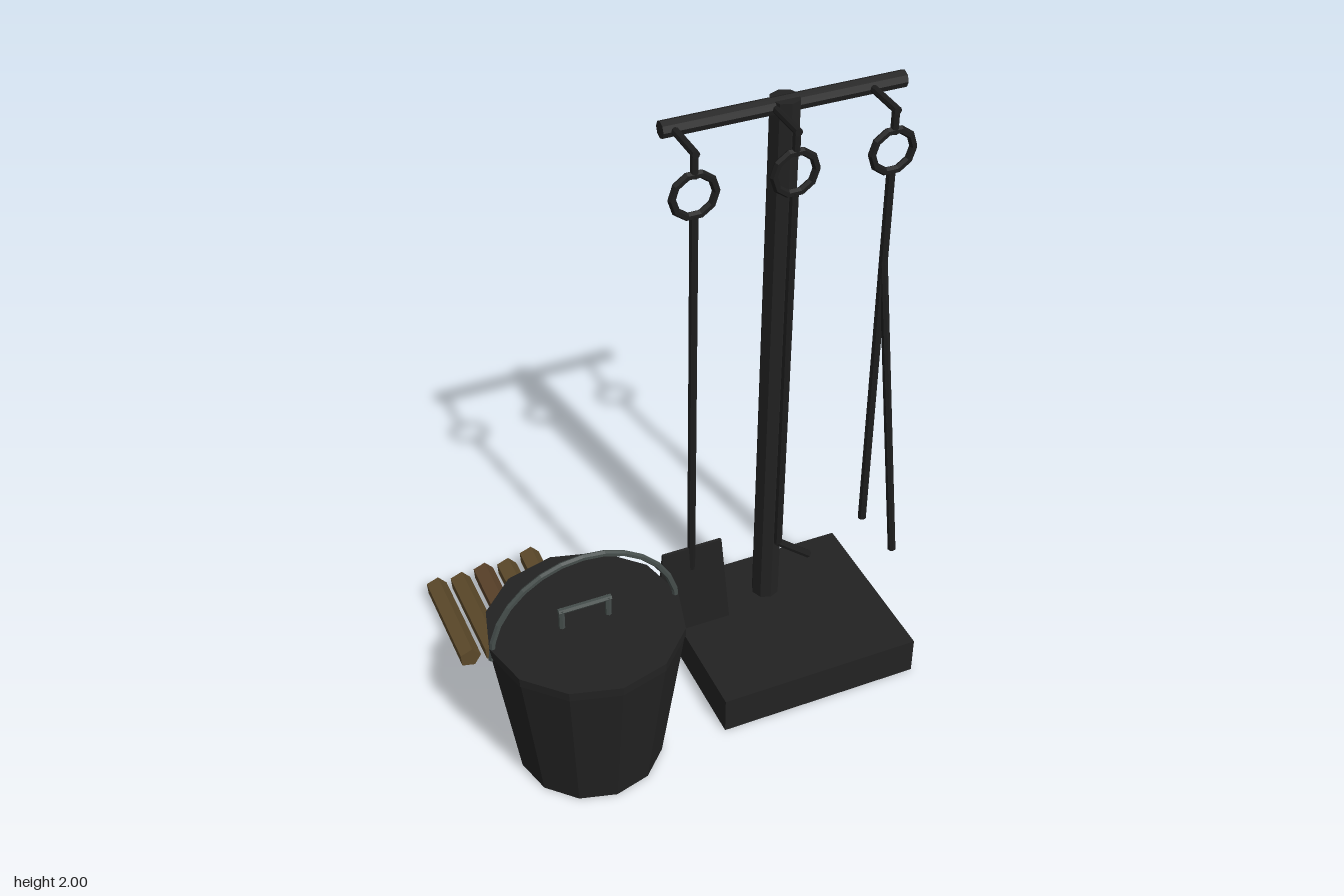
import * as THREE from 'three';

export function createModel() {
  const model = new THREE.Group();
  model.name = 'fireplaceToolSet';

  const material = (name, color) => {
    const m = new THREE.MeshStandardMaterial({ color, flatShading: true });
    m.name = name;
    return m;
  };
  const iron = material('blackIron', 0x222222);
  const toolIron = material('toolIron', 0x1d1d1d);
  const steel = material('greySteel', 0x454d4b);
  const wood = material('wood', 0x5c492a);
  const redWood = material('redWood', 0x5a4229);

  const group = (name, parent = model) => {
    const g = new THREE.Group();
    g.name = name;
    parent.add(g);
    return g;
  };
  const add = (parent, name, geometry, mat, x = 0, y = 0, z = 0) => {
    const mesh = new THREE.Mesh(geometry, mat);
    mesh.name = name;
    mesh.position.set(x, y, z);
    parent.add(mesh);
    return mesh;
  };
  // Straight bar between two points
  const bar = (parent, name, from, to, radius, mat, sides = 8) => {
    const a = new THREE.Vector3(...from), b = new THREE.Vector3(...to);
    const dir = b.clone().sub(a);
    const mesh = add(parent, name, new THREE.CylinderGeometry(radius, radius, dir.length(), sides), mat);
    mesh.position.copy(a).add(b).multiplyScalar(0.5);
    mesh.quaternion.setFromUnitVectors(new THREE.Vector3(0, 1, 0), dir.normalize());
    return mesh;
  };

  // Stand: base slab, post and crossbar
  const stand = group('stand');
  add(stand, 'base', new THREE.BoxGeometry(0.682, 0.13, 0.585), iron, 0.343, 0.065, 0.105);
  add(stand, 'post', new THREE.CylinderGeometry(0.046, 0.046, 1.865, 8), iron, 0.343, 1.0625, -0.027);
  bar(stand, 'crossbar', [-0.035, 1.975, -0.027], [0.72, 1.975, -0.027], 0.026, iron);

  // Three hanging tools share a hook, a ring and a rod
  const toolZ = 0.125, rod = 0.0135;
  const hangingTool = (name, x) => {
    const g = group(name);
    g.position.set(x, 0, toolZ);
    bar(g, 'hookArm', [0, 1.975, -0.15], [0, 1.975, 0.012], 0.012, toolIron);
    bar(g, 'hookDrop', [0, 1.978, 0], [0, 1.9, 0], 0.012, toolIron);
    add(g, 'ring', new THREE.TorusGeometry(0.066, 0.0125, 6, 10), toolIron, 0, 1.845, 0);
    bar(g, 'rod', [0, 1.785, 0], [0, 0.48, 0], rod, toolIron);
    return g;
  };

  // Shovel with a tapered, slightly tilted blade
  const shovel = hangingTool('shovel', 0);
  const outline = new THREE.Shape([[-0.1, 0.168], [-0.13, -0.168], [0.13, -0.168], [0.1, 0.168]]
    .map(p => new THREE.Vector2(...p)));
  const blade = add(shovel, 'blade',
    new THREE.ExtrudeGeometry(outline, { depth: 0.01, bevelEnabled: false }), iron, 0, 0.402, 0.002);
  blade.rotation.x = -0.02;

  // Poker with a bent tip
  const poker = hangingTool('poker', 0.305);
  bar(poker, 'pokerTip', [-0.004, 0.484, 0], [0.113, 0.388, 0], rod, toolIron);

  // Tongs with a second leg splayed outwards
  const tongs = hangingTool('tongs', 0.61);
  bar(tongs, 'splayedLeg', [0, 1.48, 0], [0.073, 0.385, 0.083], rod, toolIron);

  // Bucket with lid and handles
  const bucket = group('bucket');
  bucket.position.set(-0.415, 0, 0.275);
  add(bucket, 'bucketBody', new THREE.CylinderGeometry(0.302, 0.23, 0.515, 12), iron, 0, 0.2575, 0);
  add(bucket, 'lid', new THREE.CylinderGeometry(0.305, 0.305, 0.03, 12), iron, 0, 0.53, 0);
  add(bucket, 'carryHandle', new THREE.TorusGeometry(0.3, 0.01, 6, 14, Math.PI), steel, 0, 0.5, 0);
  for (const x of [-0.075, 0.075]) bar(bucket, 'lidHandlePost', [x, 0.54, 0], [x, 0.615, 0], 0.01, steel, 6);
  bar(bucket, 'lidHandleGrip', [-0.085, 0.61, 0], [0.085, 0.61, 0], 0.01, steel, 6);

  // Row of five-sided logs, each tilted a little
  const logs = group('logs');
  const tilts = [0.01, 0, 0.03, 0.01, 0.07];
  tilts.forEach((tilt, i) => {
    const geometry = new THREE.CylinderGeometry(0.038, 0.038, 0.376, 5);
    geometry.rotateX(Math.PI / 2);
    geometry.rotateZ(THREE.MathUtils.degToRad(-14 + 180)); // turn the ridge towards the right
    geometry.computeBoundingBox();
    // Ridge up, lower vertex near the ground
    const top = geometry.attributes.position;
    let ridge = 0;
    for (let k = 0; k < top.count; k++) if (top.getY(k) > top.getY(ridge)) ridge = k;
    if (top.getX(ridge) < 0 || top.getY(ridge) < 0.035) {
      geometry.rotateZ(Math.atan2(top.getY(ridge), top.getX(ridge)) * -1 + THREE.MathUtils.degToRad(76));
    }
    const log = add(logs, 'log' + (i + 1), geometry, i === 2 ? redWood : wood,
      -0.658 + i * 0.0855, 0.036 + 0.19 * tilt, -0.388 + (i % 2 ? 0.001 : -0.001));
    log.rotation.x = tilt;
  });

  return model;
}
